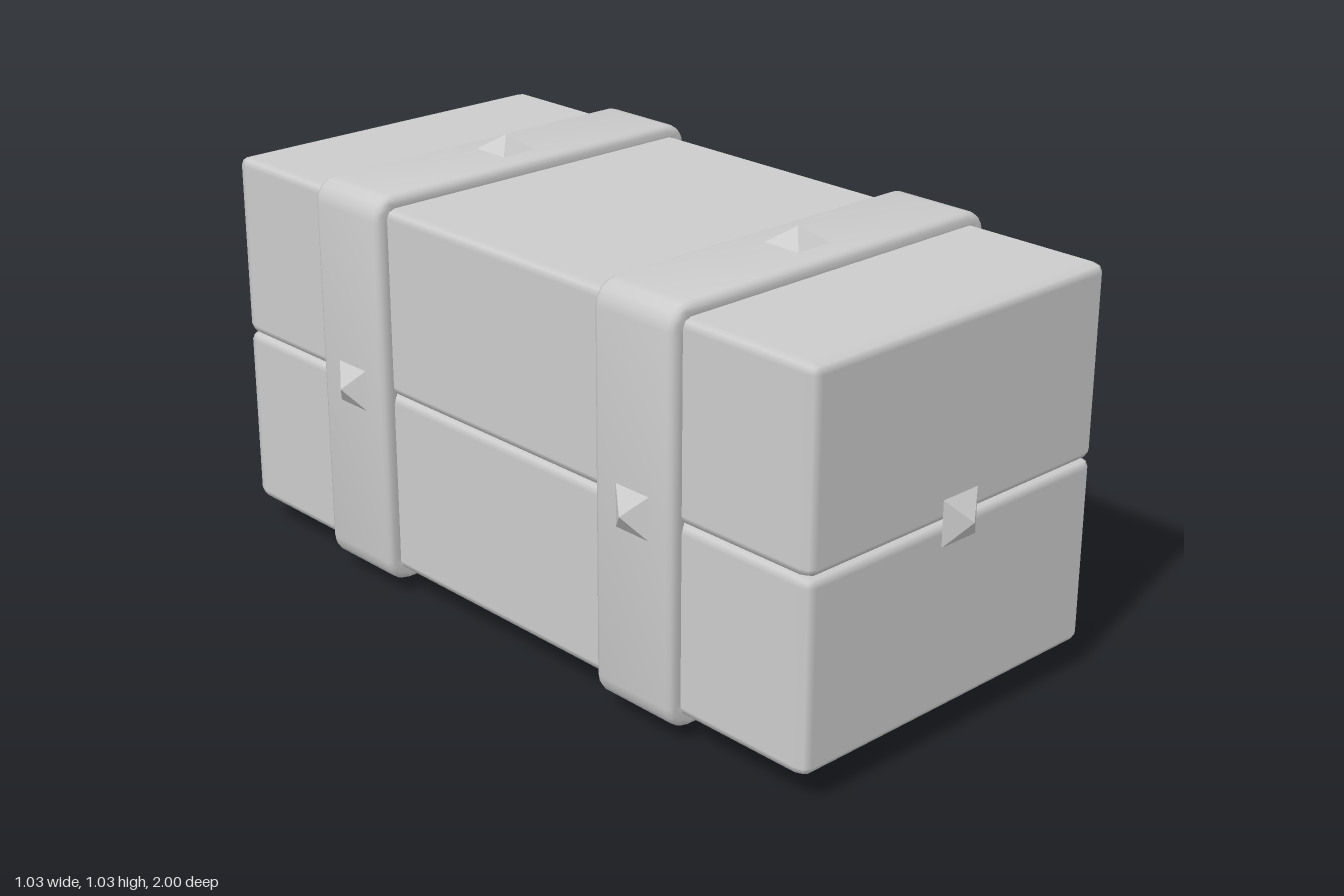
import * as THREE from 'three';
import { toCreasedNormals } from 'three/addons/utils/BufferGeometryUtils.js';
import { RoundedBoxGeometry } from 'three/addons/geometries/RoundedBoxGeometry.js';

const MID_Y = 0.517;
const STRAP_Z = 0.482;

const smooth = new THREE.MeshStandardMaterial({ color: 0xcccccc });
const faceted = new THREE.MeshStandardMaterial({ color: 0xcccccc, flatShading: true });

// Rectangle with rounded corners, centred on the origin
function roundedRect(path, halfW, halfH, r) {
  const w = halfW - r, h = halfH - r, q = Math.PI / 2;
  path.absarc(w, h, r, 0, q);
  path.absarc(-w, h, r, q, 2 * q);
  path.absarc(-w, -h, r, 2 * q, 3 * q);
  path.absarc(w, -h, r, 3 * q, 4 * q);
  path.closePath();
  return path;
}

// Bevelled half of the crate; the bevel is longer along z
function crateHalf(name, bottom, top) {
  const stretch = 1.5;
  const geo = new RoundedBoxGeometry(0.9, top - bottom, 1.92 / stretch, 1, 0.022);
  geo.scale(1, 1, stretch);
  geo.computeBoundingBox();
  const mesh = new THREE.Mesh(geo, smooth);
  mesh.name = name;
  mesh.position.y = (bottom + top) / 2;
  return mesh;
}

// Band wrapped around the crate
function strapGeometry() {
  const width = 0.235, bevel = 0.014;
  const shape = roundedRect(new THREE.Shape(), 0.48, 0.48, 0.055);
  shape.holes.push(roundedRect(new THREE.Path(), 0.435, 0.435, 0.03));
  const geo = new THREE.ExtrudeGeometry(shape, {
    depth: width - 2 * bevel, curveSegments: 2,
    bevelEnabled: true, bevelThickness: bevel, bevelSize: bevel, bevelOffset: -bevel, bevelSegments: 2,
  });
  geo.translate(0, 0, -width / 2 + bevel);
  return toCreasedNormals(geo, 0.9);
}

// Four-sided pyramid with its base at the origin, pointing along +y
function studGeometry() {
  const geo = new THREE.ConeGeometry(0.054 * Math.SQRT2, 0.04, 4);
  geo.rotateY(Math.PI / 4);
  geo.translate(0, 0.02, 0);
  return geo;
}

export function createModel() {
  const group = new THREE.Group();
  group.name = 'strappedCrate';

  // Crate body, with a narrow groove where the halves meet
  group.add(crateHalf('crateBase', 0.07, 0.518), crateHalf('crateLid', 0.516, 0.968));

  const studGeo = studGeometry();
  const up = new THREE.Vector3(0, 1, 0);
  const addStud = (name, dir, dist, z) => {
    const stud = new THREE.Mesh(studGeo, faceted);
    stud.name = name;
    stud.quaternion.setFromUnitVectors(up, dir);
    stud.position.set(0, MID_Y, z).addScaledVector(dir, dist);
    group.add(stud);
  };

  const strapGeo = strapGeometry();
  for (const s of [1, -1]) {
    const end = s > 0 ? 'front' : 'back';

    // Strap with a stud on each of its four sides
    const strap = new THREE.Mesh(strapGeo, smooth);
    strap.name = end + 'Strap';
    strap.position.set(0, MID_Y, s * STRAP_Z);
    group.add(strap);
    const sides = { Left: [1, 0], Right: [-1, 0], Top: [0, 1], Bottom: [0, -1] };
    for (const [side, [x, y]] of Object.entries(sides)) {
      addStud(end + side + 'Stud', new THREE.Vector3(x, y, 0), 0.477, s * STRAP_Z);
    }

    // Stud over the groove at the end of the crate
    addStud(end + 'EndStud', new THREE.Vector3(0, 0, s), 0.96, 0);
  }
  return group;
}
